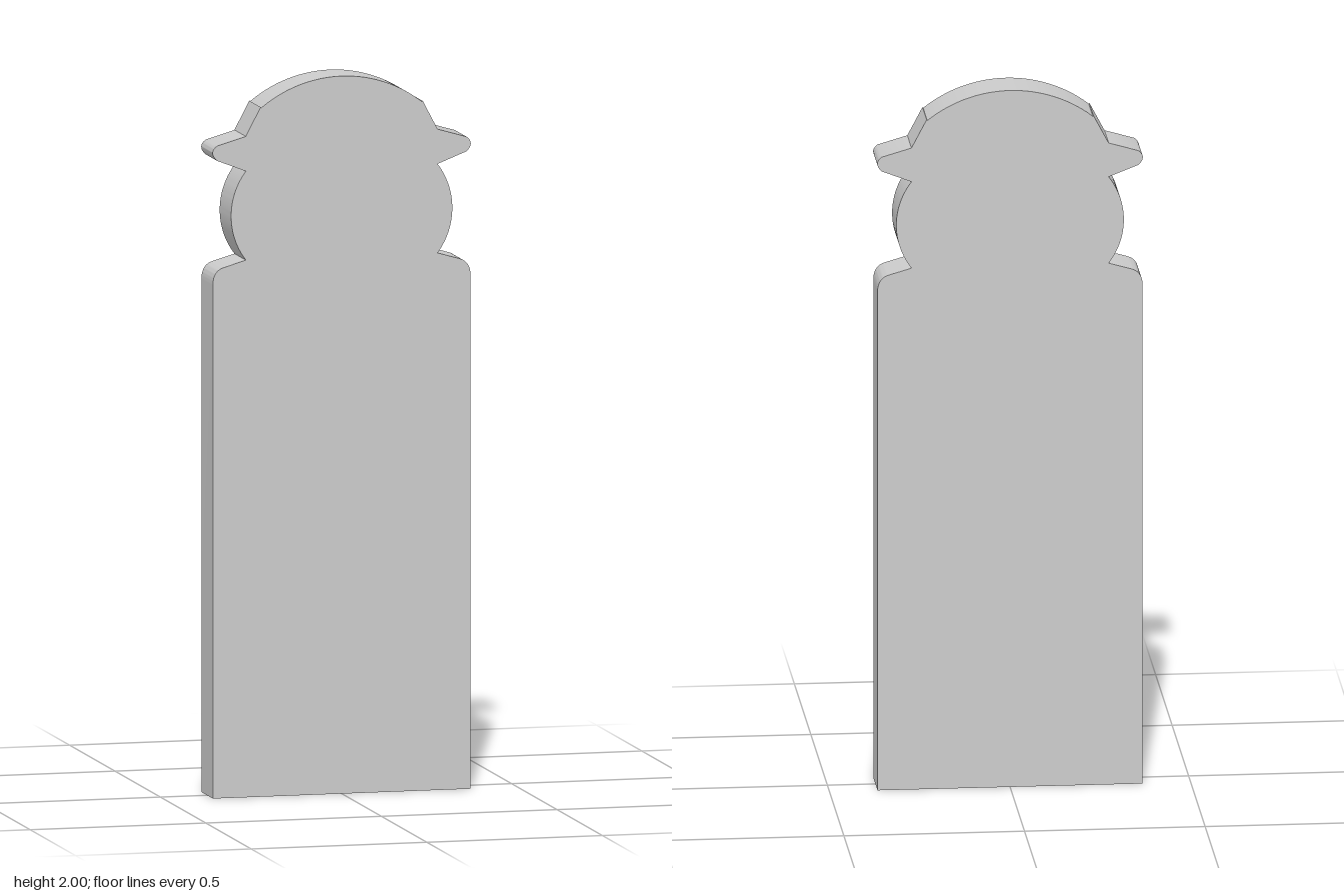
import * as THREE from 'three';
import { toCreasedNormals } from 'three/addons/utils/BufferGeometryUtils.js';

const HALF_DEPTH = 0.063;

// Right half of the outline, from the base up to the crown
function halfOutline() {
  const p = new THREE.Path();
  p.moveTo(0.367, 0);
  p.lineTo(0.367, 1.43);
  p.quadraticCurveTo(0.367, 1.47, 0.335, 1.479); // shoulder
  p.lineTo(0.273, 1.497);
  p.absarc(0.112, 1.621, 0.203, -0.657, 0.657, false); // cheek
  p.lineTo(0.355, 1.777); // brim
  p.quadraticCurveTo(0.38, 1.8, 0.355, 1.818);
  p.lineTo(0.273, 1.842);
  p.lineTo(0.231, 1.922);
  p.absarc(0, 1.633, 0.367, Math.atan2(0.289, 0.231), Math.PI / 2, false); // crown
  return p.getPoints(16);
}

export function createModel() {
  const group = new THREE.Group();
  group.name = 'figurePanel';

  // Mirror the half outline, sharing the crown point
  const right = halfOutline();
  const left = right.slice(0, -1).reverse().map((v) => new THREE.Vector2(-v.x, v.y));
  const shape = new THREE.Shape([...right, ...left]);

  const geometry = new THREE.ExtrudeGeometry(shape, { depth: HALF_DEPTH * 2, bevelEnabled: false });
  geometry.translate(0, 0, -HALF_DEPTH);

  const panel = new THREE.Mesh(
    toCreasedNormals(geometry, Math.PI / 7),
    new THREE.MeshStandardMaterial({ color: 0xcccccc })
  );
  panel.name = 'silhouettePanel';
  group.add(panel);
  return group;
}
